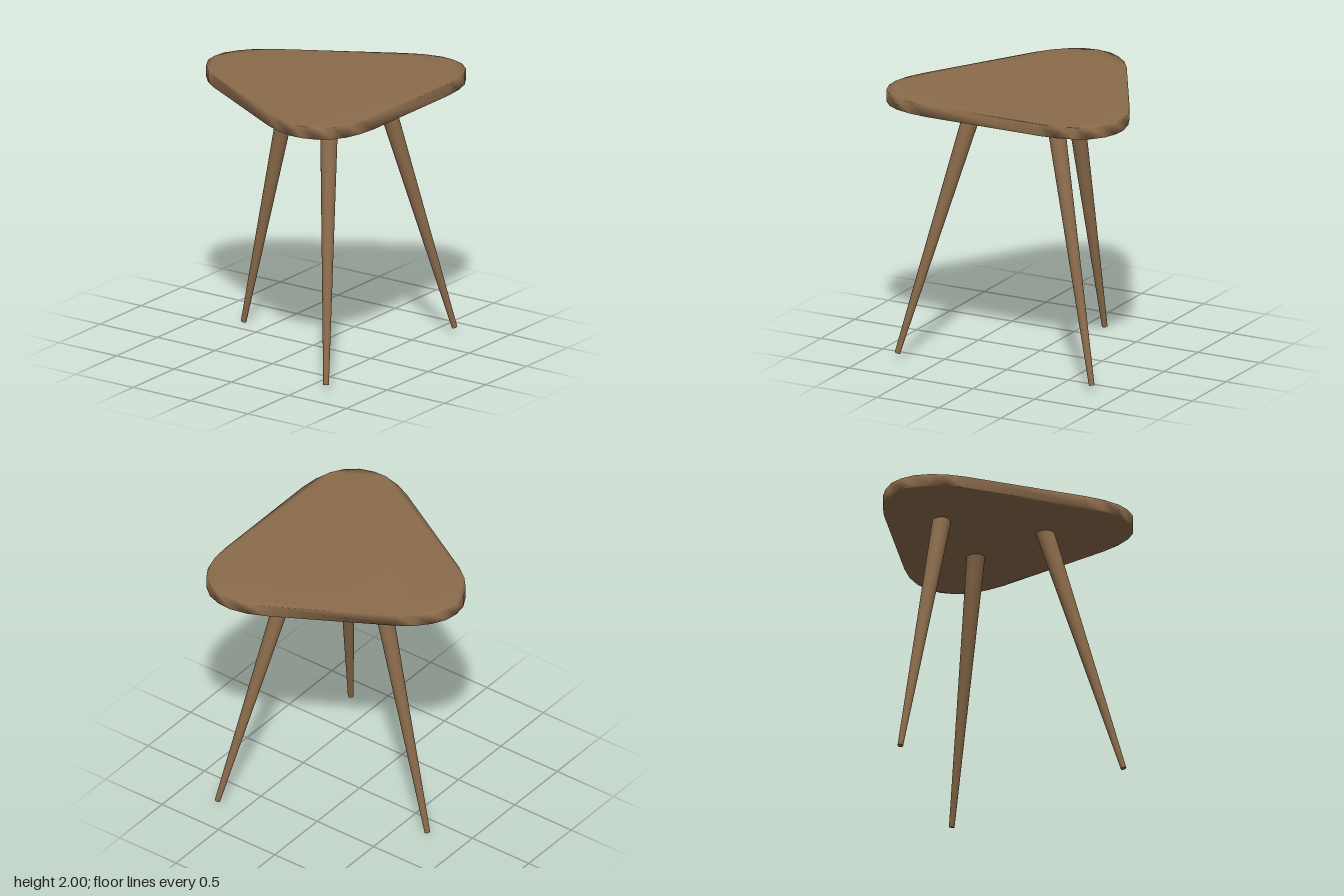
import * as THREE from 'three';
import { mergeVertices } from 'three/addons/utils/BufferGeometryUtils.js';

const wood = new THREE.MeshStandardMaterial({ color: 0x8b6b4b });

// Right half of the rounded triangle outline (x, z), back tip to front edge
const HALF = [
  [0, -0.86], [0.1, -0.845], [0.2, -0.79], [0.29, -0.71], [0.37, -0.6],
  [0.83, 0.2], [0.89, 0.33], [0.92, 0.46], [0.915, 0.56], [0.88, 0.665],
  [0.81, 0.75], [0.72, 0.805], [0.6, 0.84], [0.46, 0.855],
];

function makeTop() {
  const right = HALF.map(([x, z]) => new THREE.Vector2(x, z));
  const left = HALF.slice(1).reverse().map(([x, z]) => new THREE.Vector2(-x, z));
  let geo = new THREE.ExtrudeGeometry(new THREE.Shape([...right, ...left]), { depth: 0.085, bevelEnabled: false });
  geo.rotateX(Math.PI / 2).translate(0, 2, 0);
  // Weld corners so the shading runs smoothly around the rim
  geo.deleteAttribute('uv');
  geo.deleteAttribute('normal');
  geo = mergeVertices(geo);
  geo.computeVertexNormals();
  const mesh = new THREE.Mesh(geo, wood);
  mesh.name = 'seatTop';
  return mesh;
}

// Tapered round leg between two points
function makeLeg(name, top, foot) {
  const a = new THREE.Vector3(...top);
  const b = new THREE.Vector3(...foot);
  const axis = a.clone().sub(b);
  const mesh = new THREE.Mesh(new THREE.CylinderGeometry(0.066, 0.02, axis.length(), 32), wood);
  mesh.position.copy(a).add(b).multiplyScalar(0.5);
  mesh.quaternion.setFromUnitVectors(new THREE.Vector3(0, 1, 0), axis.normalize());
  mesh.name = name;
  return mesh;
}

export function createModel() {
  const group = new THREE.Group();
  group.name = 'threeLeggedStool';
  group.add(
    makeTop(),
    makeLeg('frontLeftLeg', [0.305, 1.955, 0.36], [0.782, 0.055, 0.672]),
    makeLeg('frontRightLeg', [-0.31, 1.955, 0.36], [-0.787, 0.055, 0.672]),
    makeLeg('backLeg', [0.112, 1.91, -0.268], [0.136, 0.007, -0.703]),
  );
  return group;
}
